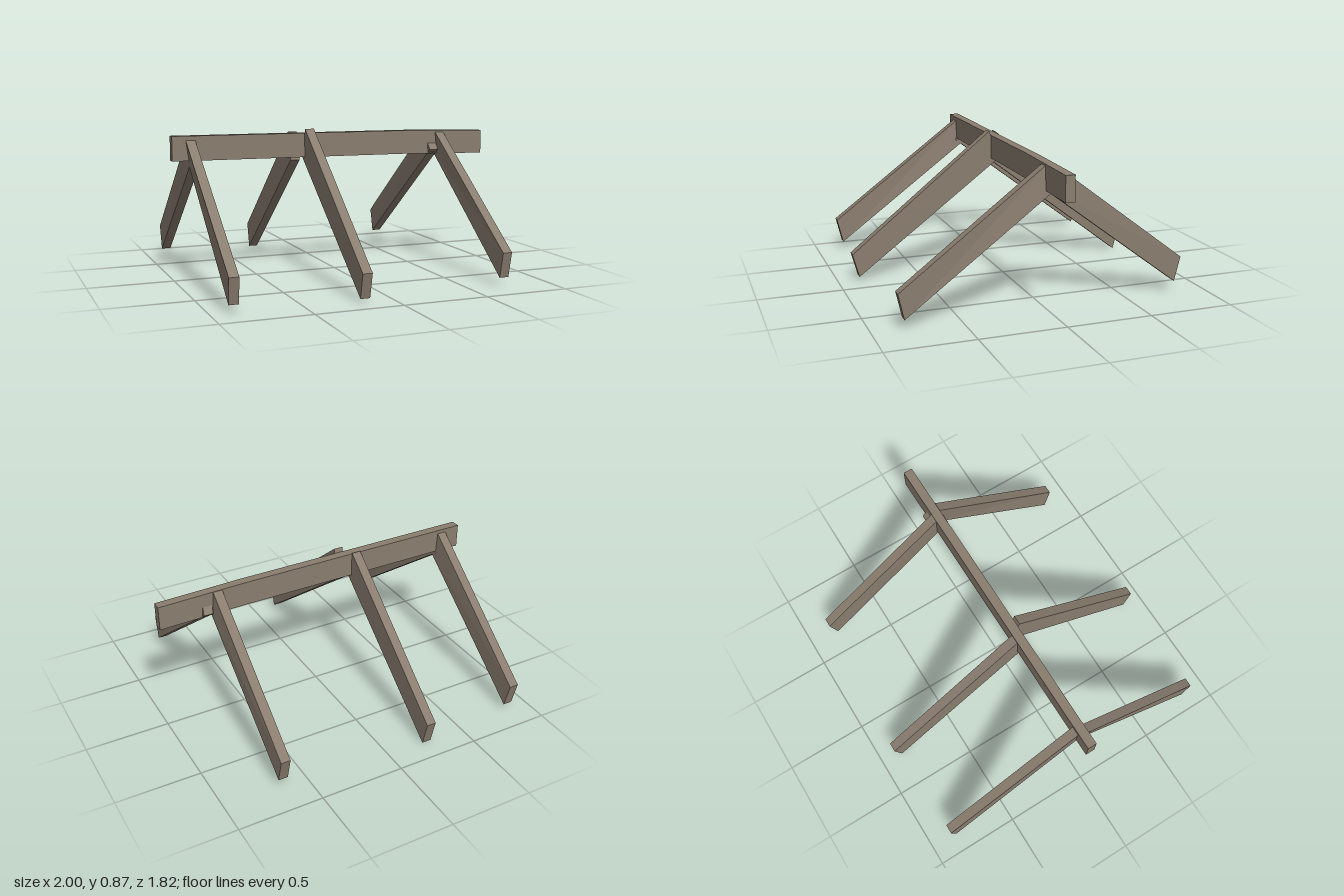
import * as THREE from 'three';

const wood = new THREE.MeshStandardMaterial({ color: 0x8a7d6f });
wood.name = 'weathered wood';

// Skin a row of four-cornered sections (clockwise seen from the far end) and cap it
function timber(name, rings) {
  const index = [];
  const quad = (a, b, c, d) => index.push(a, b, c, a, c, d);
  for (let r = 0; r < rings.length - 1; r++) {
    for (let i = 0; i < 4; i++) {
      const j = (i + 1) % 4, p = r * 4, q = p + 4;
      quad(p + i, q + i, q + j, p + j);
    }
  }
  const e = (rings.length - 1) * 4;
  quad(0, 1, 2, 3);
  quad(e, e + 3, e + 2, e + 1);
  const indexed = new THREE.BufferGeometry();
  indexed.setAttribute('position', new THREE.Float32BufferAttribute(rings.flat(2), 3));
  indexed.setIndex(index);
  const geometry = indexed.toNonIndexed();
  geometry.computeVertexNormals();
  const mesh = new THREE.Mesh(geometry, wood);
  mesh.name = name;
  return mesh;
}

// Section across a rafter from the centres of its upper and lower edges
const W = 0.028;
const section = ([tx, ty, tz], [bx, by, bz]) => [
  [tx - W, ty, tz], [tx + W, ty, tz], [bx + W, by, bz], [bx - W, by, bz],
];

// Slightly sagging ridge beam
function ridgeBeam() {
  const rings = [[-1, 0.70, 0.843], [0.48, 0.692, 0.837], [1, 0.68, 0.825]].map(([x, y0, y1]) => [
    [x, y1, 0.025], [x, y1, -0.03], [x, y0, -0.03], [x, y0, 0.025],
  ]);
  return timber('ridgeBeam', rings);
}

// Each rafter: top and bottom at the ridge, then top and bottom at the eave
const rafters = {
  frontRightRafter: [[-0.892, 0.82, 0.02], [-0.868, 0.69, -0.035], [-0.883, 0.195, 0.865], [-0.877, 0.045, 0.83]],
  frontMiddleRafter: [[-0.172, 0.865, 0.035], [-0.17, 0.69, -0.02], [-0.17, 0.165, 0.91], [-0.168, 0.022, 0.872]],
  frontLeftRafter: [[0.70, 0.825, 0.02], [0.717, 0.71, -0.057], [0.711, 0.20, 0.853], [0.711, 0.052, 0.82]],
  backRightRafter: [[-0.877, 0.82, -0.03], [-0.867, 0.69, 0.035], [-0.871, 0.18, -0.87], [-0.868, 0.032, -0.835]],
  backMiddleRafter: [[-0.257, 0.846, -0.033], [-0.257, 0.68, 0.015], [-0.257, 0.15, -0.907], [-0.257, 0, -0.87]],
  backLeftRafter: [[0.643, 0.83, -0.03], [0.652, 0.715, 0.052], [0.648, 0.205, -0.857], [0.648, 0.06, -0.82]],
};

export function createModel() {
  const model = new THREE.Group();
  model.name = 'roofFrame';
  model.add(ridgeBeam());
  for (const [name, [ridgeTop, ridgeBottom, eaveTop, eaveBottom]] of Object.entries(rafters)) {
    const rings = [section(ridgeTop, ridgeBottom), section(eaveTop, eaveBottom)];
    if (name.startsWith('back')) rings.reverse();
    model.add(timber(name, rings));
  }
  return model;
}
